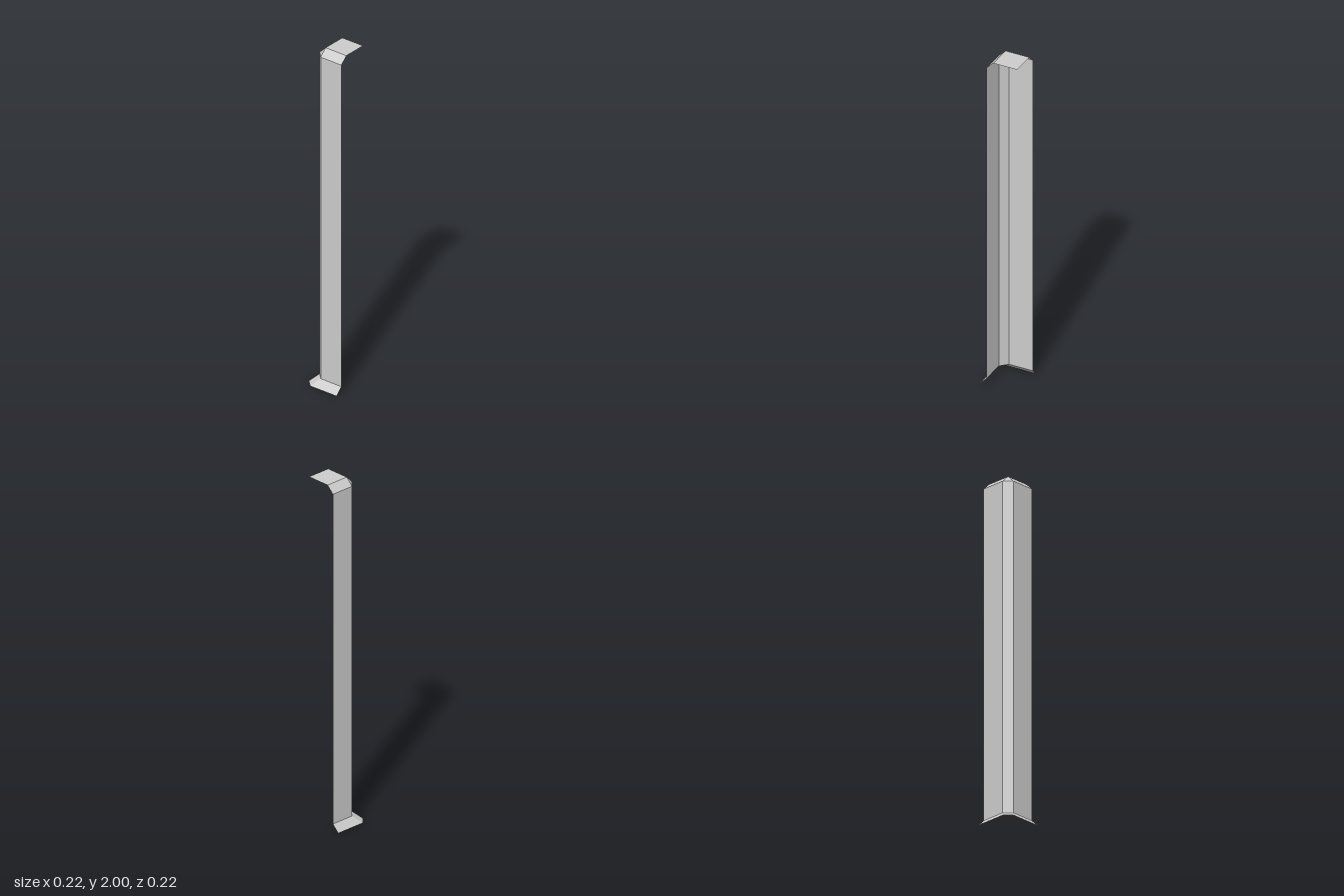
import * as THREE from 'three';

const END = 0.11; // open ends of both walls

// Corner cross-section at height y: wall offset e, corner chamfer c
function section(y, e, c) {
  return [[-e, y, -END], [-e, y, e - c], [c - e, y, e], [END, y, e]];
}

// Flat panels joining two cross-sections, outside facing outwards
function loft(lower, upper) {
  const pos = [];
  for (let i = 0; i < lower.length - 1; i++) {
    const a = lower[i], b = lower[i + 1], c = upper[i + 1], d = upper[i];
    pos.push(...a, ...b, ...c);
    // skip the second triangle where the chamfer closes to a point
    if (c[0] !== d[0] || c[2] !== d[2]) pos.push(...a, ...c, ...d);
  }
  const geo = new THREE.BufferGeometry();
  geo.setAttribute('position', new THREE.Float32BufferAttribute(pos, 3));
  geo.computeVertexNormals();
  return geo;
}

export function createModel() {
  const group = new THREE.Group();
  group.name = 'cornerTrim';
  const material = new THREE.MeshStandardMaterial({
    color: 0xcccccc, flatShading: true, side: THREE.DoubleSide,
  });
  const add = (name, geo) => {
    const mesh = new THREE.Mesh(geo, material);
    mesh.name = name;
    group.add(mesh);
  };

  const foot = section(0, 0.11, 0.04);
  const wallBottom = section(0.04, 0.07, 0.04);
  const wallTop = section(1.96, 0.07, 0.04);
  const rim = section(2, 0.03, 0);

  add('baseFlare', loft(foot, wallBottom));
  add('cornerWall', loft(wallBottom, wallTop));
  add('topBevel', loft(wallTop, rim));

  // Flat top panel inside the bevel
  const top = new THREE.PlaneGeometry(0.14, 0.14);
  top.rotateX(-Math.PI / 2).translate(0.04, 2, -0.04);
  add('topPanel', top);

  return group;
}
